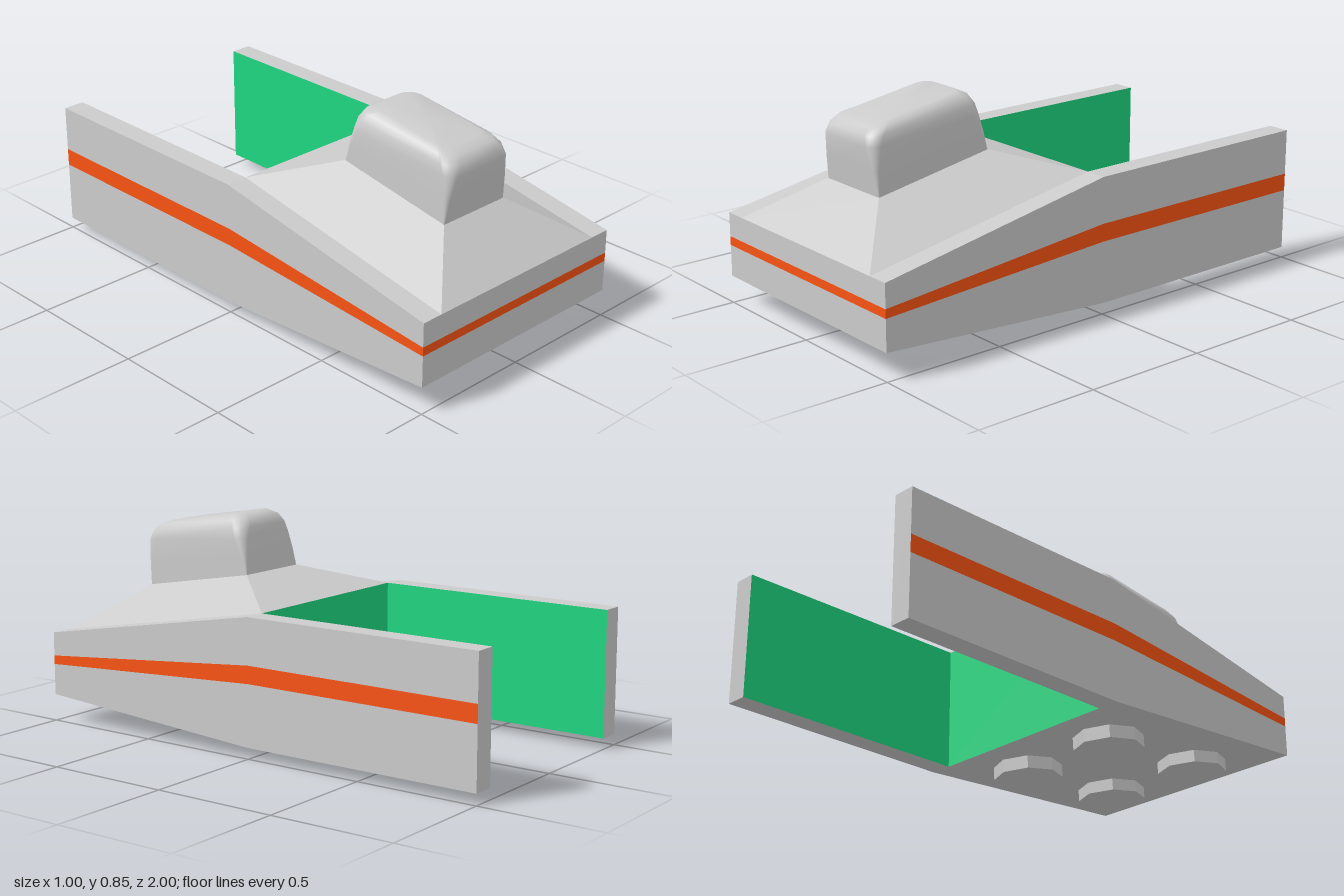
import * as THREE from 'three';

const grey = new THREE.MeshStandardMaterial({ color: 0xcccccc });
const orange = new THREE.MeshStandardMaterial({ color: 0xf95313 });
const green = new THREE.MeshStandardMaterial({ color: 0x1ed680 });

// Flat-sided mesh from four-cornered faces, corners counter-clockwise from outside
function quadMesh(name, quads, material) {
  const pos = [];
  for (const [a, b, c, d] of quads) pos.push(...a, ...b, ...c, ...a, ...c, ...d);
  const geo = new THREE.BufferGeometry();
  geo.setAttribute('position', new THREE.Float32BufferAttribute(pos, 3));
  geo.computeVertexNormals();
  const mesh = new THREE.Mesh(geo, material);
  mesh.name = name;
  return mesh;
}

const flip = quad => quad.map(([x, y, z]) => [-x, y, z]).reverse();
const bothSides = quads => [...quads, ...quads.map(flip)];

// Side profile: bottom, stripe bottom, stripe top, top at each station
const W = 0.5, I = 0.412, P = 0.16;
const stations = [
  { z: 1, y: [0.11, 0.235, 0.27, 0.365] },
  { z: 0, y: [0.045, 0.29, 0.36, 0.543] },
  { z: -1, y: [0.045, 0.29, 0.36, 0.543] },
];
const LOW = 0.045, HIGH = 0.543;

// One horizontal band of the outer skin: both flanks and the nose
function band(k) {
  const quads = [];
  for (let i = 0; i < 2; i++) {
    const f = stations[i], b = stations[i + 1];
    quads.push([[W, f.y[k], f.z], [W, b.y[k], b.z], [W, b.y[k + 1], b.z], [W, f.y[k + 1], f.z]]);
  }
  const [lo, hi] = [stations[0].y[k], stations[0].y[k + 1]];
  return [...bothSides(quads), [[-W, lo, 1], [W, lo, 1], [W, hi, 1], [-W, hi, 1]]];
}

// Smooth cabin lofted through rounded rectangles that lean with the deck
function cabinGeometry() {
  // front z, front y, back z, back y, half width, corner radius
  const rings = [
    [0.775, 0.537, 0.275, 0.625, 0.16, 0.004],
    [0.788, 0.63, 0.286, 0.7, 0.16, 0.02],
    [0.8, 0.72, 0.297, 0.765, 0.159, 0.04],
    [0.79, 0.758, 0.304, 0.805, 0.152, 0.05],
    [0.765, 0.782, 0.322, 0.837, 0.137, 0.055],
    [0.725, 0.797, 0.36, 0.856, 0.108, 0.05],
  ];
  const steps = 6, n = 4 * (steps + 1), pos = [], index = [];
  for (const [fz, fy, bz, by, hw, r] of rings) {
    const hd = (fz - bz) / 2;
    for (let k = 0; k < 4; k++) {
      const sx = k === 0 || k === 3 ? 1 : -1, sz = k < 2 ? -1 : 1;
      for (let j = 0; j <= steps; j++) {
        const a = (k + j / steps) * Math.PI / 2;
        const x = sx * (hw - r) + r * Math.cos(a);
        const d = sz * (hd - r) - r * Math.sin(a);
        const t = (d / hd + 1) / 2;
        pos.push(x, by + (fy - by) * t, bz + (fz - bz) * t);
      }
    }
  }
  for (let i = 0; i < rings.length - 1; i++) {
    for (let j = 0; j < n; j++) {
      const a = i * n + j, b = i * n + (j + 1) % n;
      index.push(a, b, b + n, a, b + n, a + n);
    }
  }
  // Roof fan
  const [fz, fy, bz, by] = rings[rings.length - 1];
  pos.push(0, (fy + by) / 2 + 0.003, (fz + bz) / 2);
  const c = rings.length * n, top = c - n;
  for (let j = 0; j < n; j++) index.push(c, top + j, top + (j + 1) % n);
  const geo = new THREE.BufferGeometry();
  geo.setAttribute('position', new THREE.Float32BufferAttribute(pos, 3));
  geo.setIndex(index);
  geo.computeVertexNormals();
  return geo;
}

export function createModel() {
  const model = new THREE.Group();
  model.name = 'craft';

  // Hull skin with a coloured stripe between two grey bands
  model.add(quadMesh('lowerHull', band(0), grey));
  model.add(quadMesh('stripe', band(1), orange));
  model.add(quadMesh('upperHull', band(2), grey));

  // Wall tops, wall undersides and wall ends
  model.add(quadMesh('wallEdges', bothSides([
    [[I, 0.365, 1], [W, 0.365, 1], [W, HIGH, 0], [I, HIGH, 0]],
    [[I, HIGH, 0], [W, HIGH, 0], [W, HIGH, -1], [I, HIGH, -1]],
    [[I, LOW, -1], [W, LOW, -1], [W, LOW, 0], [I, LOW, 0]],
    [[W, LOW, -1], [I, LOW, -1], [I, HIGH, -1], [W, HIGH, -1]],
  ]), grey));

  // Sloping deck rising to the cabin seat
  model.add(quadMesh('deck', [
    ...bothSides([[[P, 0.537, 0.775], [I, 0.365, 1], [I, HIGH, 0], [P, 0.625, 0.275]]]),
    [[-I, 0.365, 1], [I, 0.365, 1], [P, 0.537, 0.775], [-P, 0.537, 0.775]],
    [[-P, 0.625, 0.275], [P, 0.625, 0.275], [I, HIGH, 0], [-I, HIGH, 0]],
  ], grey));

  model.add(quadMesh('underside', [
    [[-W, LOW, 0], [W, LOW, 0], [W, 0.11, 1], [-W, 0.11, 1]],
  ], grey));

  // Coloured lining of the open rear bay
  model.add(quadMesh('bayLining', [
    ...bothSides([[[I, LOW, -1], [I, LOW, 0], [I, HIGH, 0], [I, HIGH, -1]]]),
    [[I, LOW, 0], [-I, LOW, 0], [-I, HIGH, 0], [I, HIGH, 0]],
  ], green));

  const cabin = new THREE.Mesh(cabinGeometry(), grey);
  cabin.name = 'cabin';
  model.add(cabin);

  // Four thruster pads, tilted with the underside
  const padMaterial = new THREE.MeshStandardMaterial({ color: 0xcccccc, flatShading: true });
  const padGeometry = new THREE.CylinderGeometry(0.136, 0.136, 0.055, 8);
  for (const x of [-0.22, 0.22]) {
    for (const [y, z] of [[0.073, 0.738], [0.038, 0.253]]) {
      const pad = new THREE.Mesh(padGeometry, padMaterial);
      pad.name = 'thrusterPad';
      pad.position.set(x, y, z);
      pad.rotation.x = -Math.atan(0.065);
      model.add(pad);
    }
  }
  return model;
}
